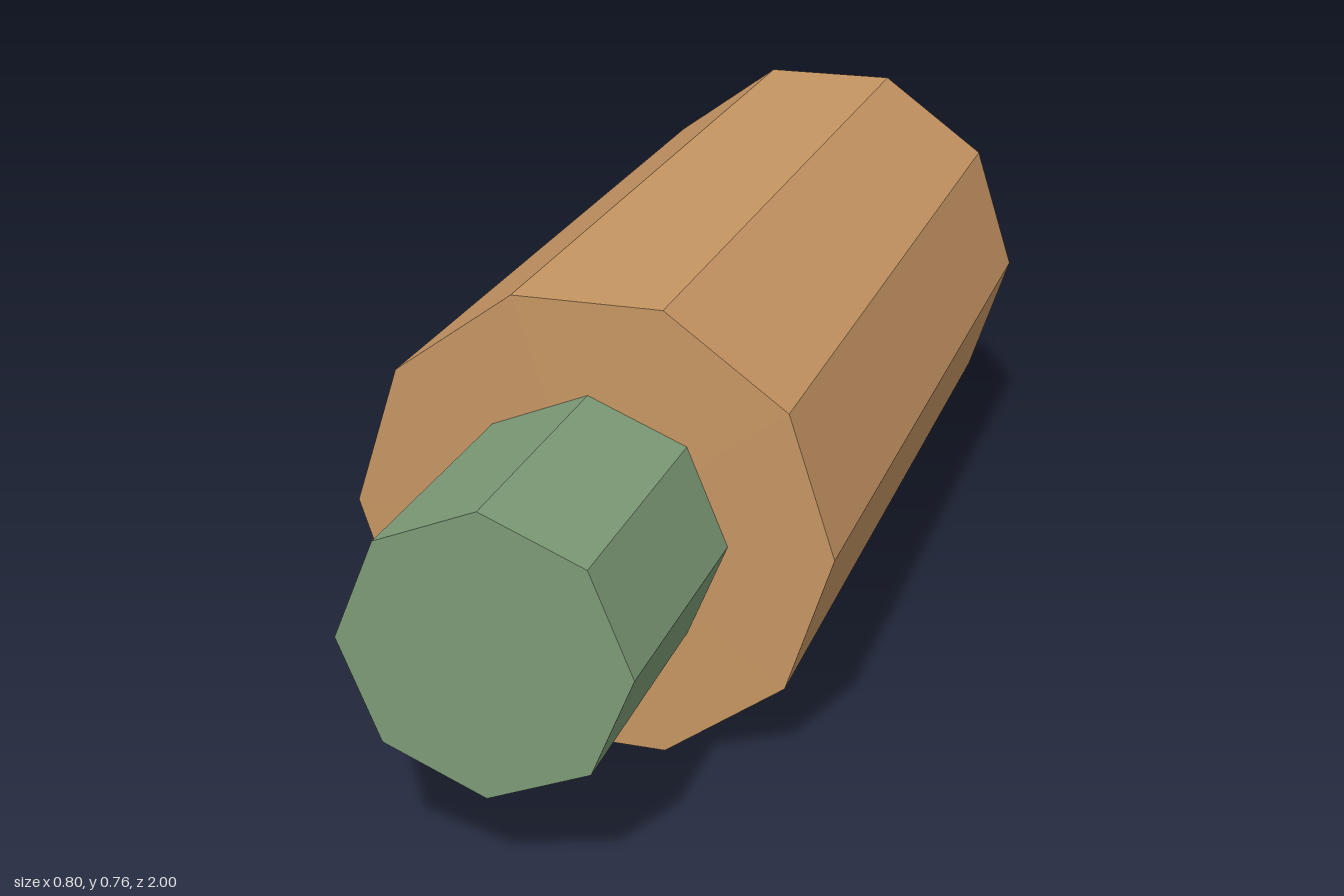
import * as THREE from 'three';

const bodyRadius = 0.4;
const axisHeight = bodyRadius * Math.sin(Math.PI * 0.4); // lowest flat rests on y = 0

// Faceted cylinder lying along z between two depths
function prism(name, radius, sides, zBack, zFront, turn, material) {
  const geometry = new THREE.CylinderGeometry(radius, radius, zFront - zBack, sides, 1, false, turn);
  geometry.rotateX(Math.PI / 2);
  const mesh = new THREE.Mesh(geometry.toNonIndexed(), material);
  mesh.geometry.computeVertexNormals(); // crisp facets
  mesh.position.set(0, axisHeight, (zBack + zFront) / 2);
  mesh.name = name;
  return mesh;
}

export function createModel() {
  const tan = new THREE.MeshStandardMaterial({ color: 0xc69562 });
  tan.name = 'tan';
  const green = new THREE.MeshStandardMaterial({ color: 0x7c9a76 });
  green.name = 'sage green';

  const model = new THREE.Group();
  model.name = 'steppedCylinder';
  // Ten-sided body, flat on top and bottom
  model.add(prism('body', bodyRadius, 10, -1, 0.54, Math.PI / 10, tan));
  // Eight-sided tip, corners up and down
  model.add(prism('tip', 0.228, 8, 0.54, 1, 0, green));
  return model;
}
